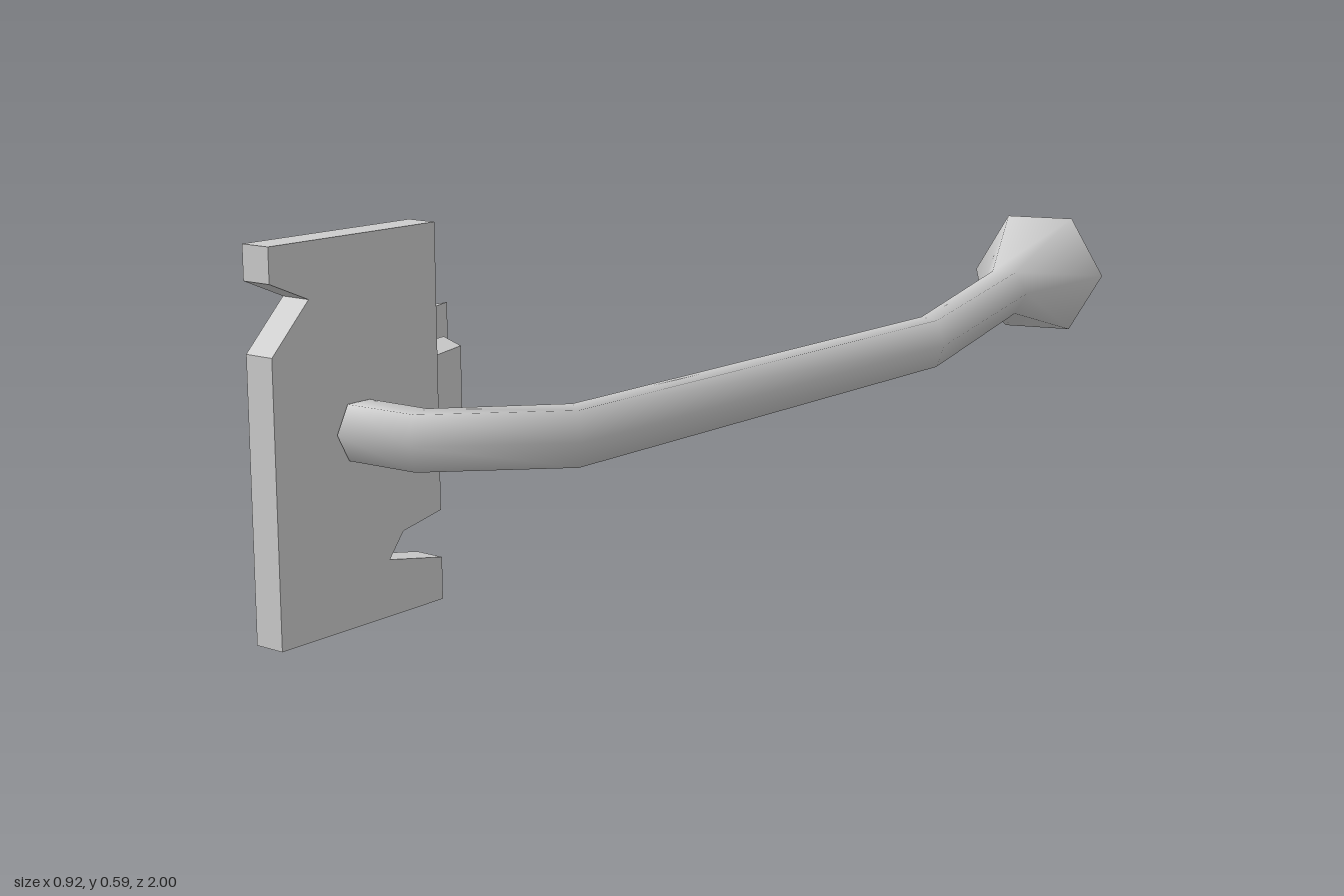
import * as THREE from 'three';

const steel = new THREE.MeshStandardMaterial({ color: 0xcccccc, side: THREE.DoubleSide });
steel.name = 'steel grey';
const flatSteel = steel.clone();
flatSteel.flatShading = true;
flatSteel.side = THREE.FrontSide;

// Skin a list of rings (each an array of [x, y, z]), optionally closing both ends
function loft(rings, capped) {
  const n = rings[0].length;
  const index = [];
  for (let i = 0; i < rings.length - 1; i++) {
    for (let j = 0; j < n; j++) {
      const a = i * n + j, b = i * n + (j + 1) % n;
      index.push(a, b, b + n, a, b + n, a + n);
    }
  }
  if (capped) {
    const e = (rings.length - 1) * n;
    for (let j = 1; j < n - 1; j++) {
      index.push(0, j + 1, j, e, e + j, e + j + 1);
    }
  }
  const g = new THREE.BufferGeometry();
  g.setAttribute('position', new THREE.Float32BufferAttribute(rings.flat(2), 3));
  g.setIndex(index);
  g.computeVertexNormals();
  return g;
}

// Six-sided ring: centre x, z, sideways vector sx, sz and radius in height
function hexRing([x, z, sx, sz, r], y) {
  return Array.from({ length: 6 }, (_, i) => {
    const a = (i * Math.PI) / 3, c = Math.cos(a);
    return [x + sx * c, y + r * Math.sin(a), z + sz * c];
  });
}

// Four-sided ring with separate half heights on its two sides
function boxRing([x, z, sx, sz, h1, h2], y) {
  return [
    [x + sx, y - h1, z + sz], [x + sx, y + h1, z + sz],
    [x - sx, y + h2, z - sz], [x - sx, y - h2, z - sz],
  ];
}

function block(sections, y) {
  const g = loft(sections.map((s) => boxRing(s, y)), true).toNonIndexed();
  g.computeVertexNormals();
  return g;
}

export function createModel() {
  const group = new THREE.Group();
  const add = (name, geometry, material) => {
    const mesh = new THREE.Mesh(geometry, material);
    mesh.name = name;
    group.add(mesh);
  };

  // Bent tube ending in an open flared mouth
  const tube = [
    [-0.244, 0.842, 0.012, -0.044, 0.049],
    [-0.127, 0.87, -0.003, -0.045, 0.049],
    [0.067, 0.76, -0.028, -0.04, 0.049],
    [0.335, -0.145, -0.036, -0.025, 0.048],
    [0.322, -0.72, -0.047, 0, 0.048],
    [0.325, -1, -0.135, 0, 0.135],
  ];
  add('flaredTube', loft(tube.map((s) => hexRing(s, 0.298)), false), steel);

  // Upright plate with a notch in each edge
  const outline = [
    [0, 0], [0.332, 0], [0.332, 0.067], [0.22, 0.088], [0.25, 0.126], [0.332, 0.142],
    [0.332, 0.588], [0, 0.588], [0, 0.535], [0.073, 0.504], [0, 0.43],
  ];
  const plate = new THREE.ExtrudeGeometry(
    new THREE.Shape(outline.map(([u, v]) => new THREE.Vector2(u, v))),
    { depth: 0.053, bevelEnabled: false });
  plate.rotateY(1.297);
  plate.translate(-0.341, 0, 0.985);
  add('notchedPlate', plate, flatSteel);

  // Thin bent arm behind the plate
  add('arm', block([
    [-0.293, 0.808, -0.008, 0.023, 0.025, 0.025],
    [-0.374, 0.766, -0.016, 0.018, 0.023, 0.023],
    [-0.403, 0.69, -0.024, 0.005, 0.018, 0.018],
  ], 0.3), flatSteel);

  // Wedge-ended block with a raised pad on its inner face
  add('gripBlock', block([
    [-0.404, 0.694, -0.027, 0.003, 0.042, 0.058],
    [-0.411, 0.62, -0.044, -0.003, 0.1, 0.116],
    [-0.42, 0.32, -0.041, 0.01, 0.1, 0.116],
  ], 0.281), flatSteel);
  add('gripPad', block([
    [-0.376, 0.483, 0.006, -0.142, 0.063, 0.063],
    [-0.323, 0.487, -0.003, -0.123, 0.054, 0.054],
  ], 0.281), flatSteel);

  return group;
}
